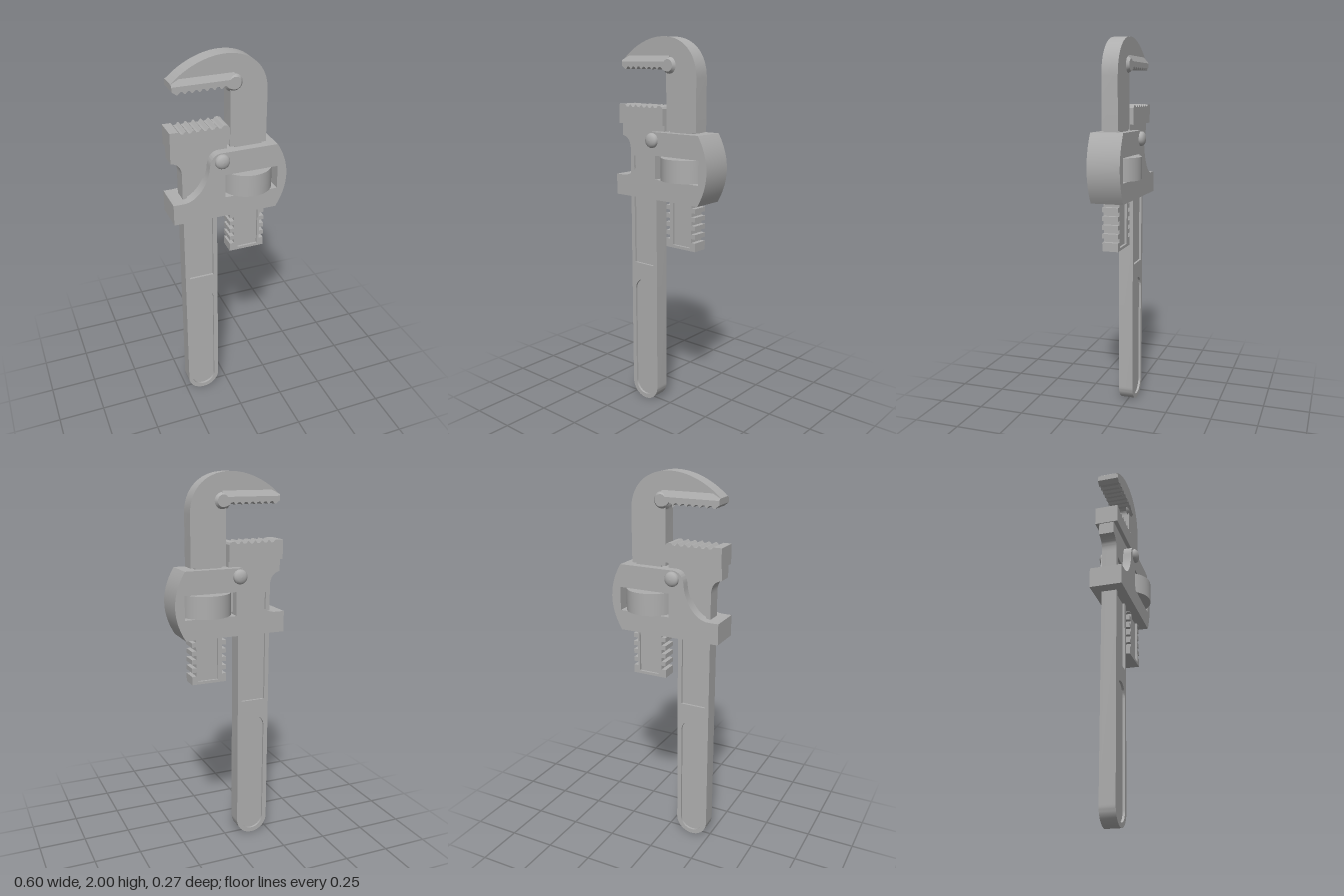
import * as THREE from 'three';
import { toCreasedNormals } from 'three/addons/utils/BufferGeometryUtils.js';

const steel = new THREE.MeshStandardMaterial({ color: 0xaeaeae });
steel.name = 'steel grey';

export function createModel() {
  const group = new THREE.Group();
  group.name = 'pipeWrench';

  const add = (name, geometry, parent = group) => {
    const mesh = new THREE.Mesh(geometry, steel);
    mesh.name = name;
    parent.add(mesh);
    return mesh;
  };
  // Flat outline extruded evenly to both sides of z = 0
  const slab = (shape, half) => {
    const g = new THREE.ExtrudeGeometry(shape, { depth: 2 * half, bevelEnabled: false, curveSegments: 14 });
    g.translate(0, 0, -half);
    return toCreasedNormals(g, 0.45);
  };
  const poly = (points) => new THREE.Shape(points.map(([x, y]) => new THREE.Vector2(x, y)));
  const rect = (x0, y0, x1, y1) => poly([[x0, y0], [x1, y0], [x1, y1], [x0, y1]]);
  const capsule = (x, y0, y1, r) => {
    const s = new THREE.Shape();
    s.absarc(x, y0 + r, r, Math.PI, 2 * Math.PI);
    s.absarc(x, y1 - r, r, 0, Math.PI);
    s.closePath();
    return s;
  };
  // Row of notches from x0 to x1, cut by the signed depth
  const notches = (x0, x1, y, depth, count) => {
    const points = [], p = (x1 - x0) / count;
    for (let i = 0; i < count; i++) {
      const x = x0 + i * p;
      points.push([x, y], [x + p * 0.3, y + depth], [x + p * 0.6, y + depth], [x + p * 0.9, y]);
    }
    return points;
  };

  // Handle with sunken panels, widening under the fixed jaw
  const handle = new THREE.Shape();
  handle.absarc(-0.15, 0.09, 0.09, Math.PI, 2 * Math.PI);
  handle.lineTo(-0.06, 1.3);
  handle.lineTo(-0.005, 1.3);
  handle.lineTo(-0.005, 1.57);
  handle.lineTo(-0.295, 1.57);
  handle.lineTo(-0.295, 1.495);
  handle.quadraticCurveTo(-0.24, 1.485, -0.24, 1.42);
  handle.closePath();
  handle.holes.push(capsule(-0.15, 0.025, 0.71, 0.066), rect(-0.217, 0.8, -0.083, 1.39));
  add('handle', slab(handle, 0.04));
  add('gripPanel', slab(capsule(-0.15, 0.02, 0.715, 0.071), 0.028));
  add('upperPanel', slab(rect(-0.222, 0.795, -0.078, 1.395), 0.028));

  // Fixed jaw with teeth on top
  const fixedJaw = poly([
    [0, 1.56], [0, 1.645], [-0.006, 1.656], [-0.02, 1.66],
    ...notches(-0.03, -0.26, 1.66, -0.012, 6), [-0.3, 1.66], [-0.3, 1.56],
  ]);
  add('fixedJaw', slab(fixedJaw, 0.061));

  // Hook jaw: toothed shank, bent head
  const hook = new THREE.Shape();
  const pitch = 0.045, rows = 15, y0 = 0.975, cut = 0.024;
  hook.moveTo(0.01, 0.93);
  hook.lineTo(0.2, 0.93);
  const side = (outer, inner, i, up) => {
    const a = y0 + i * pitch - 0.0, b = a + 0.021;
    for (const [x, y] of up
      ? [[outer, a], [inner, a], [inner, b], [outer, b]]
      : [[outer, b], [inner, b], [inner, a], [outer, a]]) hook.lineTo(x, y);
  };
  for (let i = 0; i < rows; i++) if (i < 5 || i === 12) side(0.2, 0.2 - cut, i, true);
  hook.lineTo(0.2, 1.8);
  hook.bezierCurveTo(0.2, 1.92, 0.115, 2, -0.015, 2);
  hook.bezierCurveTo(-0.12, 2, -0.22, 1.945, -0.28, 1.888);
  hook.lineTo(-0.28, 1.857);
  hook.lineTo(-0.255, 1.85);
  hook.lineTo(-0.02, 1.85);
  hook.quadraticCurveTo(0.01, 1.845, 0.01, 1.81);
  for (let i = rows - 1; i >= 0; i--) if (i < 5 || i === 12) side(0.01, 0.01 + cut, i, false);
  hook.closePath();
  hook.holes.push(rect(0.055, 0.945, 0.165, 1.25));
  add('hookJaw', slab(hook, 0.042));
  add('shankPanel', slab(rect(0.05, 0.94, 0.17, 1.255), 0.03));

  // Wide toothed strip along the hook, with a sloped upper edge
  const strip = poly([
    [-0.28, 1.878], [-0.28, 1.857], [-0.258, 1.84],
    ...notches(-0.25, 0, 1.84, 0.012, 7), [0.015, 1.832], [0.03, 1.83], [0.03, 1.878],
  ]);
  add('hookTeeth', slab(strip, 0.057));
  let slope = new THREE.ExtrudeGeometry(
    poly([[-0.28, 1.878], [0.03, 1.878], [0.03, 1.908], [-0.24, 1.908], [-0.28, 1.886]]),
    { depth: 0.114, bevelEnabled: false });
  slope.translate(0, 0, -0.057);
  const pos = slope.attributes.position;
  for (let i = 0; i < pos.count; i++) {
    pos.setZ(i, Math.sign(pos.getZ(i)) * (0.057 - 0.5 * (pos.getY(i) - 1.878)));
  }
  slope.computeVertexNormals();
  add('hookTeethSlope', slope);

  // Solid housing with a window for the nut
  const body = new THREE.Shape();
  body.moveTo(-0.302, 1.18);
  body.lineTo(0.246, 1.18);
  body.quadraticCurveTo(0.355, 1.355, 0.246, 1.53);
  body.lineTo(-0.05, 1.53);
  body.bezierCurveTo(-0.09, 1.53, -0.108, 1.5, -0.112, 1.46);
  body.bezierCurveTo(-0.118, 1.38, -0.175, 1.29, -0.25, 1.29);
  body.lineTo(-0.302, 1.29);
  body.closePath();
  body.holes.push(rect(-0.03, 1.286, 0.25, 1.41));
  add('housing', slab(body, 0.085));

  // Adjusting nut
  const nut = add('adjustingNut', new THREE.CylinderGeometry(0.133, 0.133, 0.116, 40));
  nut.position.set(0.11, 1.348, 0);

  // Rivet heads and rounded strip ends, mirrored front and back
  const dome = [[0.038, -0.005], [0.038, 0.008], [0.034, 0.016], [0.024, 0.022], [0.012, 0.025], [0, 0.026]]
    .map(([r, h]) => new THREE.Vector2(r, h));
  for (const s of [1, -1]) {
    const rivet = add(s > 0 ? 'frontRivet' : 'backRivet', new THREE.LatheGeometry(dome, 24));
    rivet.rotation.x = s * Math.PI / 2;
    rivet.position.set(-0.048, 1.487, s * 0.085);
    const end = add(s > 0 ? 'frontStripEnd' : 'backStripEnd', new THREE.CylinderGeometry(0.03, 0.05, 0.027, 24));
    end.rotation.x = s * Math.PI / 2;
    end.position.set(0.03, 1.86, s * 0.0435);
  }
  return group;
}
